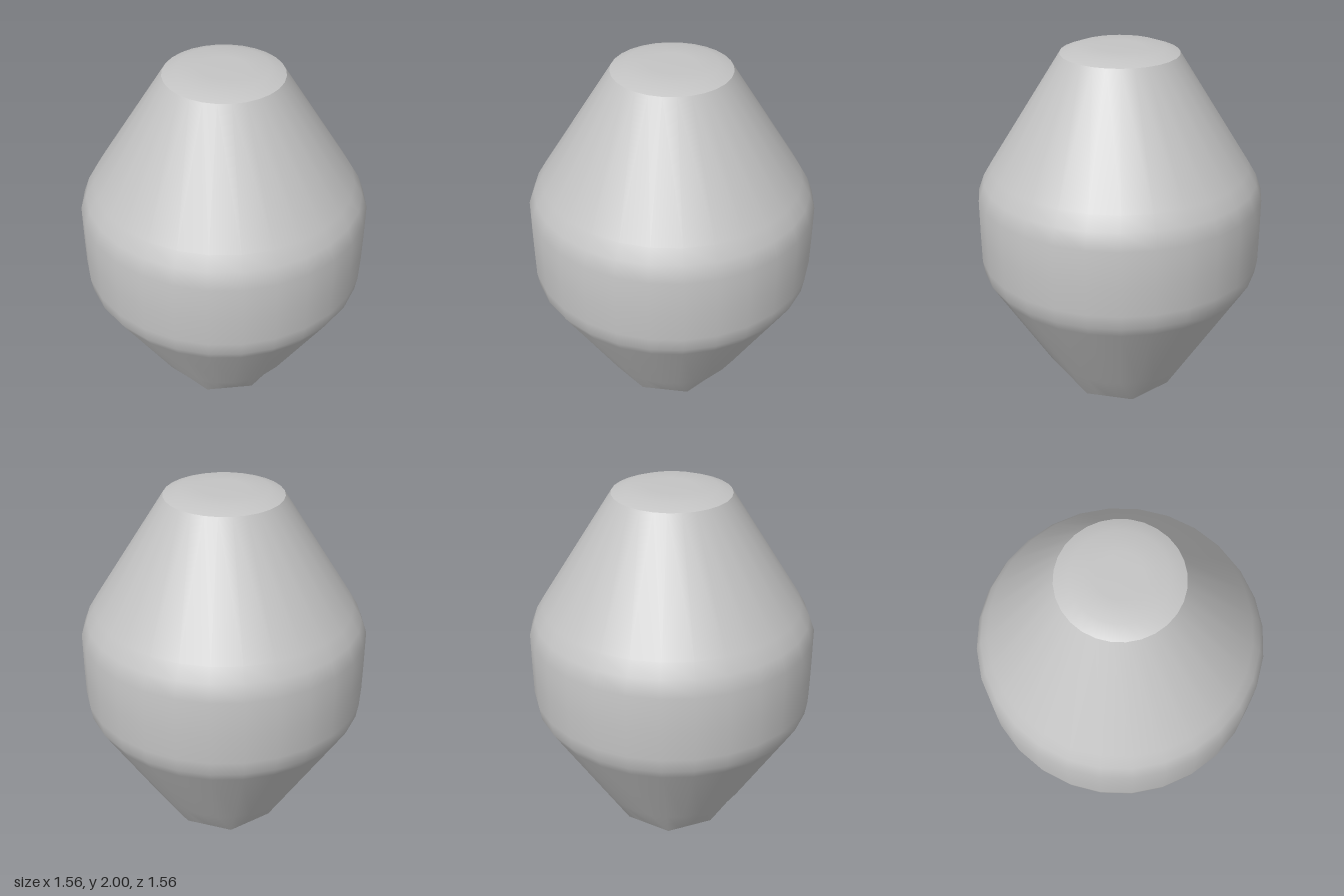
import * as THREE from 'three';
import { mergeVertices } from 'three/addons/utils/BufferGeometryUtils.js';

const SIDES = 28;

// Lathe with welded seam and smooth normals; an optional rule moves vertices first
function smoothLathe(profile, rule) {
  let g = new THREE.LatheGeometry(profile.map(([r, y]) => new THREE.Vector2(r, y)), SIDES);
  g.deleteAttribute('uv');
  g.deleteAttribute('normal');
  if (rule) {
    const p = g.attributes.position, v = new THREE.Vector3();
    for (let i = 0; i < p.count; i++) {
      v.fromBufferAttribute(p, i);
      rule(v);
      p.setXYZ(i, v.x, v.y, v.z);
    }
  }
  g = mergeVertices(g, 1e-4);
  g.computeVertexNormals();
  return g;
}

// Squeezes the lowest ring to a seven-sided foot with one corner on -x
function heptagonFoot(v) {
  if (v.y > 0.001) return;
  const step = (Math.PI * 2) / 7;
  const a = Math.atan2(v.z, v.x) + Math.PI;
  const local = a - Math.floor(a / step + 1e-6) * step - step / 2;
  const k = Math.cos(step / 2) / Math.cos(local);
  v.x *= k;
  v.z *= k;
}

export function createModel() {
  const group = new THREE.Group();
  group.name = 'vessel';
  const grey = new THREE.MeshStandardMaterial({ color: 0xc4c4c4 });
  grey.name = 'grey';

  const add = (name, geometry) => {
    const mesh = new THREE.Mesh(geometry, grey);
    mesh.name = name;
    group.add(mesh);
    return mesh;
  };

  // Double-tapered body with a straight belly band
  add('body', smoothLathe([
    [0.31, 0], [0.43, 0.2], [0.73, 0.7], [0.765, 0.76], [0.777, 0.84],
    [0.778, 1.0], [0.777, 1.2], [0.745, 1.285], [0.7, 1.36], [0.315, 1.97],
  ], heptagonFoot));

  // Slightly domed lid
  add('topCap', smoothLathe([[0.315, 1.97], [0.24, 1.997], [0.12, 2], [0, 2]]));

  // Flat seven-sided underside
  const base = new THREE.CircleGeometry(0.31, 7, Math.PI);
  base.rotateX(Math.PI / 2);
  add('base', base);

  return group;
}
